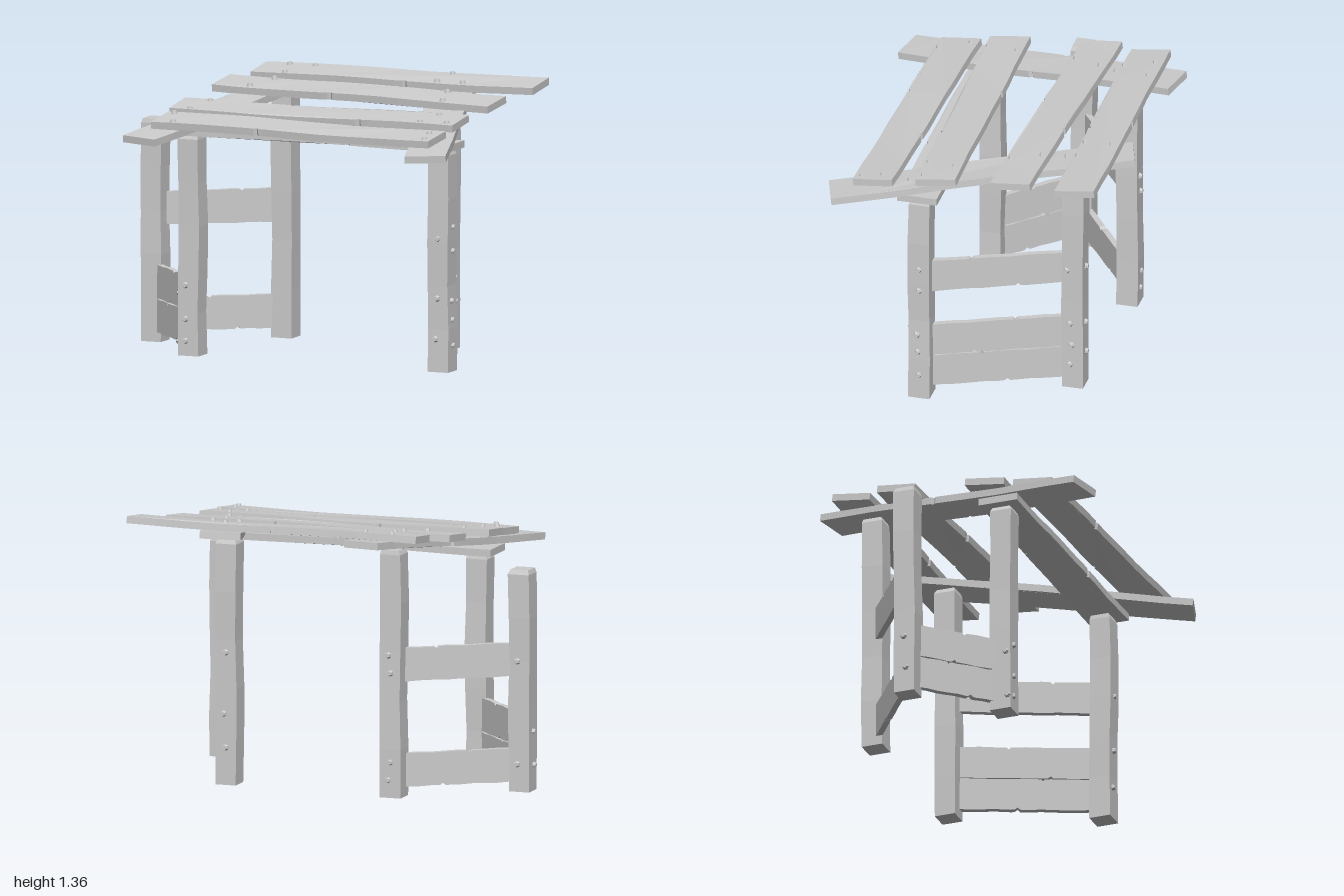
import * as THREE from 'three';

const mat = new THREE.MeshStandardMaterial({ color: 0xcccccc, flatShading: true });
const boltGeo = new THREE.CylinderGeometry(0.011, 0.018, 0.016, 6).translate(0, 0.007, 0);

function addMesh(parent, name, geo) {
  const m = new THREE.Mesh(geo, mat);
  m.name = name;
  parent.add(m);
  return m;
}

// Weathered board: wavy strip with a small chip in each long edge.
// Length along x, width along y, thickness along z from 0 to t.
function boardGeometry(len, w, t, seed, bend) {
  const n = 10, bottom = [], top = [];
  const chip = Math.sin(seed * 3.7) * 0.15 * len + 0.025 * len;
  for (let i = 0; i <= n; i++) {
    const x = (i / n - 0.5) * len;
    const edge = w / 2 + 0.002 * Math.sin(seed * 5 + i * 2);
    bottom.push([x, -edge]);
    top.push([x, edge]);
  }
  const addChip = (row, cx, s) => {
    row.push([cx - 0.016, s * w / 2], [cx, s * (w / 2 - 0.012)], [cx + 0.012, s * w / 2]);
    row.sort((p, q) => p[0] - q[0]);
  };
  addChip(bottom, chip, -1);
  addChip(top, -chip + 0.05 * len, 1);
  const pts = [...bottom, ...top.reverse()].map(p => new THREE.Vector2(...p));
  const geo = new THREE.ExtrudeGeometry(new THREE.Shape(pts), { depth: t, bevelEnabled: false });
  const pos = geo.attributes.position;
  for (let i = 0; i < pos.count; i++) {
    pos.setZ(i, pos.getZ(i) + bend * Math.sin(seed * 2 + pos.getX(i) * 5));
  }
  geo.computeVertexNormals();
  return geo;
}

// Board running between two [x, z] points; flat ones rest on height y.
function addBoard(parent, name, a, b, y, w, t, seed, flat) {
  const dx = b[0] - a[0], dz = b[1] - a[1];
  const geo = boardGeometry(Math.hypot(dx, dz), w, t, seed, flat ? 0.004 : 0);
  if (flat) geo.rotateX(-Math.PI / 2);
  else geo.translate(0, 0, -t / 2);
  const m = addMesh(parent, name, geo);
  m.position.set((a[0] + b[0]) / 2, y, (a[1] + b[1]) / 2);
  m.rotation.y = Math.atan2(-dz, dx);
}

// Rough-hewn post with uneven sides and a chamfered top.
function addPost(parent, name, x, z, h, seed) {
  const n = 6, s = 0.112;
  const geo = new THREE.BoxGeometry(s, 1, s, 1, n, 1).toNonIndexed();
  const p = geo.attributes.position;
  for (let i = 0; i < p.count; i++) {
    const ring = Math.round((p.getY(i) + 0.5) * n);
    const y = ring === n ? h : ring / (n - 1) * (h - 0.022);
    const k = ring === n ? 0.84 : 1 - 0.025 * (1 + Math.sin(seed * 4 + ring * 2.1));
    const shift = ring === 0 ? 0 : 0.003;
    p.setXYZ(i, p.getX(i) * k + shift * Math.sin(seed + ring * 1.7), y,
      p.getZ(i) * k + shift * Math.cos(seed * 2 + ring * 1.3));
  }
  geo.computeVertexNormals();
  addMesh(parent, name, geo).position.set(x, 0, z);
}

function addBolt(parent, pos, dir = [0, 1, 0]) {
  const m = addMesh(parent, 'bolt', boltGeo);
  m.position.set(...pos);
  m.quaternion.setFromUnitVectors(new THREE.Vector3(0, 1, 0), new THREE.Vector3(...dir));
}

export function createModel() {
  const model = new THREE.Group();
  model.name = 'woodenShelter';

  // Posts
  const posts = {
    frontLeftPost: [0.795, 0.275, 1.11],
    backLeftPost: [0.495, -0.435, 1.24],
    frontRightPost: [-0.565, 0.275, 1.11],
    backRightPost: [-0.395, -0.475, 1.25],
    outerRightPost: [-0.935, -0.095, 1.12],
  };
  Object.entries(posts).forEach(([name, [x, z, h]], i) => addPost(model, name, x, z, h, i + 1));

  // Side rails, each running from post centre to post centre
  const low = 0.132, mid = 0.305, high = 0.665;
  const sides = [
    ['leftRail', 'backLeftPost', 'frontLeftPost', [low, mid, high]],
    ['rightFrontRail', 'outerRightPost', 'frontRightPost', [low, mid]],
    ['rightBackRail', 'outerRightPost', 'backRightPost', [low, high]],
  ];
  sides.forEach(([name, a, b, heights], i) => heights.forEach((y, j) =>
    addBoard(model, name, posts[a], posts[b], y, 0.168, 0.03, i * 3 + j + 1, false)));

  // Bolts on the outer faces of the posts: [offset, height] pairs
  const postBolts = [
    ['frontLeftPost', [1, 0, 0], [[0, 0.725], [0, 0.605], [0.01, 0.355], [0.005, 0.26], [0, 0.13]]],
    ['frontLeftPost', [0, 0, 1], [[0, 0.67], [-0.005, 0.37], [-0.015, 0.165]]],
    ['backLeftPost', [1, 0, 0], [[0.03, 0.66], [0.015, 0.36], [0.005, 0.24], [0.015, 0.13]]],
    ['backLeftPost', [0, 0, -1], [[0, 0.67], [0.01, 0.36], [0, 0.19]]],
    ['frontRightPost', [0, 0, 1], [[-0.015, 0.355], [-0.015, 0.185], [-0.015, 0.075]]],
    ['frontRightPost', [-1, 0, 0], [[0.03, 0.31], [0.04, 0.07]]],
    ['backRightPost', [0, 0, -1], [[0.01, 0.72], [0, 0.63], [0, 0.18], [0.01, 0.09]]],
    ['outerRightPost', [-1, 0, 0], [[0, 0.3], [0.01, 0.13]]],
    ['outerRightPost', [0, 0, -1], [[0.01, 0.66], [0.01, 0.14]]],
  ];
  for (const [name, dir, list] of postBolts) {
    const [x, z] = posts[name];
    for (const [o, y] of list) {
      addBolt(model, [x + dir[0] * 0.053 + (dir[2] ? o : 0), y, z + dir[2] * 0.053 + (dir[0] ? o : 0)], dir);
    }
  }

  // Beam lying across the front posts
  addBoard(model, 'frontBeam', [-0.66, 0.278], [0.872, 0.278], 1.116, 0.2, 0.036, 4, true);

  // Sloping roof; local y = 0 is the top of the rafters
  const roof = new THREE.Group();
  roof.name = 'roof';
  roof.position.y = 1.235;
  roof.rotation.x = Math.atan(0.124);
  model.add(roof);
  addBoard(roof, 'rightRafter', [-0.65, 0.745], [-0.32, -0.745], -0.036, 0.2, 0.036, 6, true);
  addBoard(roof, 'leftRafter', [0.9, 0.725], [0.435, -0.725], -0.036, 0.208, 0.036, 7, true);
  const planks = [
    [[-0.66, 0.462], [0.87, 0.508]],
    [[-0.675, 0.212], [0.855, 0.186]],
    [[-0.655, -0.272], [0.877, -0.206]],
    [[-0.572, -0.545], [0.958, -0.562]],
  ];
  planks.forEach(([a, b], i) => addBoard(roof, 'roofPlank', a, b, 0.002, 0.205, 0.036, i + 8, true));

  // Roof bolts, through the planks and straight into the rafters
  const plankBolts = [
    [-0.43, -0.61], [-0.29, -0.61], [-0.39, -0.46], [0.45, -0.625], [0.43, -0.48], [0.57, -0.48],
    [-0.39, -0.335], [-0.46, -0.19], [0.57, -0.295], [0.61, -0.145],
    [-0.53, 0.135], [-0.57, 0.295], [0.71, 0.12], [0.67, 0.265], [0.81, 0.255],
    [-0.61, 0.395], [-0.55, 0.545], [0.81, 0.465], [0.83, 0.57],
  ];
  const rafterBolts = [[-0.4, -0.41], [0.515, -0.405], [0.79, 0.335]];
  plankBolts.forEach(([x, z]) => addBolt(roof, [x, 0.037, z]));
  rafterBolts.forEach(([x, z]) => addBolt(roof, [x, 0.001, z]));

  return model;
}
